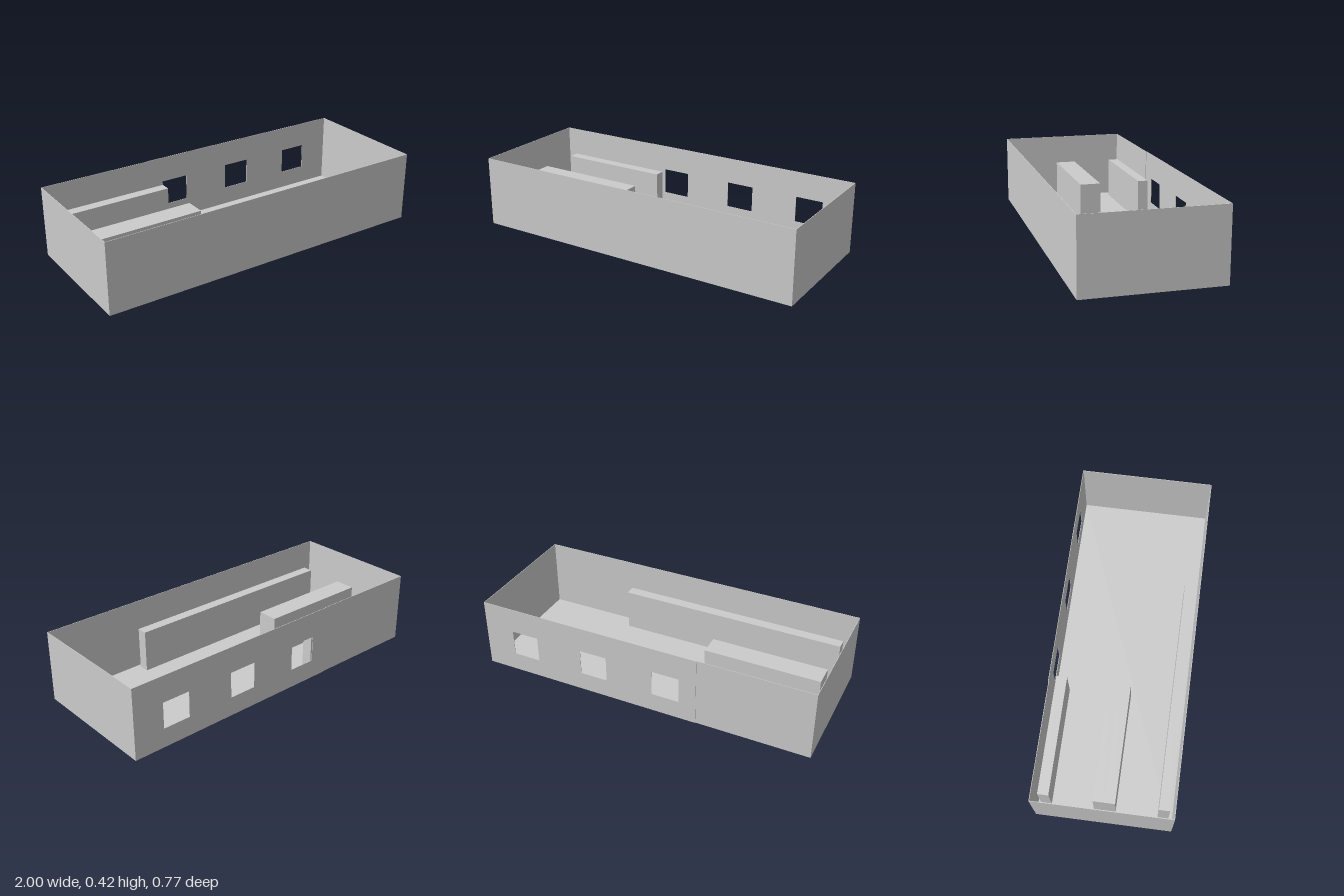
import * as THREE from 'three';

const material = new THREE.MeshStandardMaterial({ color: 0xcccccc, side: THREE.DoubleSide });
const HEIGHT = 0.417, HALF_X = 1, HALF_Z = 0.387, THICK = 0.003;

// Box given by its minimum and maximum corners
function block(name, [x0, y0, z0], [x1, y1, z1]) {
  const geometry = new THREE.BoxGeometry(x1 - x0, y1 - y0, z1 - z0);
  geometry.translate((x0 + x1) / 2, (y0 + y1) / 2, (z0 + z1) / 2);
  const mesh = new THREE.Mesh(geometry, material);
  mesh.name = name;
  return mesh;
}

function rectangle(target, x0, y0, x1, y1) {
  target.moveTo(x0, y0);
  target.lineTo(x1, y0);
  target.lineTo(x1, y1);
  target.lineTo(x0, y1);
  target.closePath();
  return target;
}

// Back wall section pierced by three equal windows
function windowWall(x0, x1) {
  const shape = rectangle(new THREE.Shape(), x0, 0, x1, HEIGHT);
  for (let i = 0; i < 3; i++) {
    const left = -0.24 + i * 0.447;
    shape.holes.push(rectangle(new THREE.Path(), left, 0.112, left + 0.165, 0.265));
  }
  const geometry = new THREE.ExtrudeGeometry(shape, { depth: THICK, bevelEnabled: false });
  geometry.translate(0, 0, -HALF_Z);
  const mesh = new THREE.Mesh(geometry, material);
  mesh.name = 'windowWall';
  return mesh;
}

export function createModel() {
  const room = new THREE.Group();
  room.name = 'room';
  const seam = -0.34;
  const innerZ = HALF_Z - THICK;

  // Floor and plain walls; the plain back section sits slightly inside the window wall
  room.add(
    block('floor', [-HALF_X, 0, -innerZ], [HALF_X, THICK, HALF_Z]),
    block('frontWall', [-HALF_X, 0, innerZ], [HALF_X, HEIGHT, HALF_Z]),
    block('rightWall', [-HALF_X, 0, -innerZ], [-HALF_X + THICK, HEIGHT, innerZ]),
    block('leftWall', [HALF_X - THICK, 0, -innerZ], [HALF_X, HEIGHT, innerZ]),
    block('plainBackWall', [-HALF_X, 0, -innerZ], [seam, HEIGHT, -innerZ + THICK]),
    windowWall(seam, HALF_X)
  );

  // Equal shelf units: one at the back, two back to back, two end to end at the front
  const length = 0.68, depth = 0.062, shelfHeight = 0.252;
  const units = [
    ['backShelf', -0.93, -0.366],
    ['middleShelfBack', -0.93, -0.062],
    ['middleShelfFront', -0.93, 0],
    ['frontShelfRight', -0.93, 0.301],
    ['frontShelfLeft', -0.25, 0.301],
  ];
  for (const [name, x, z] of units) {
    room.add(block(name, [x, THICK, z], [x + length, shelfHeight, z + depth]));
  }
  return room;
}
